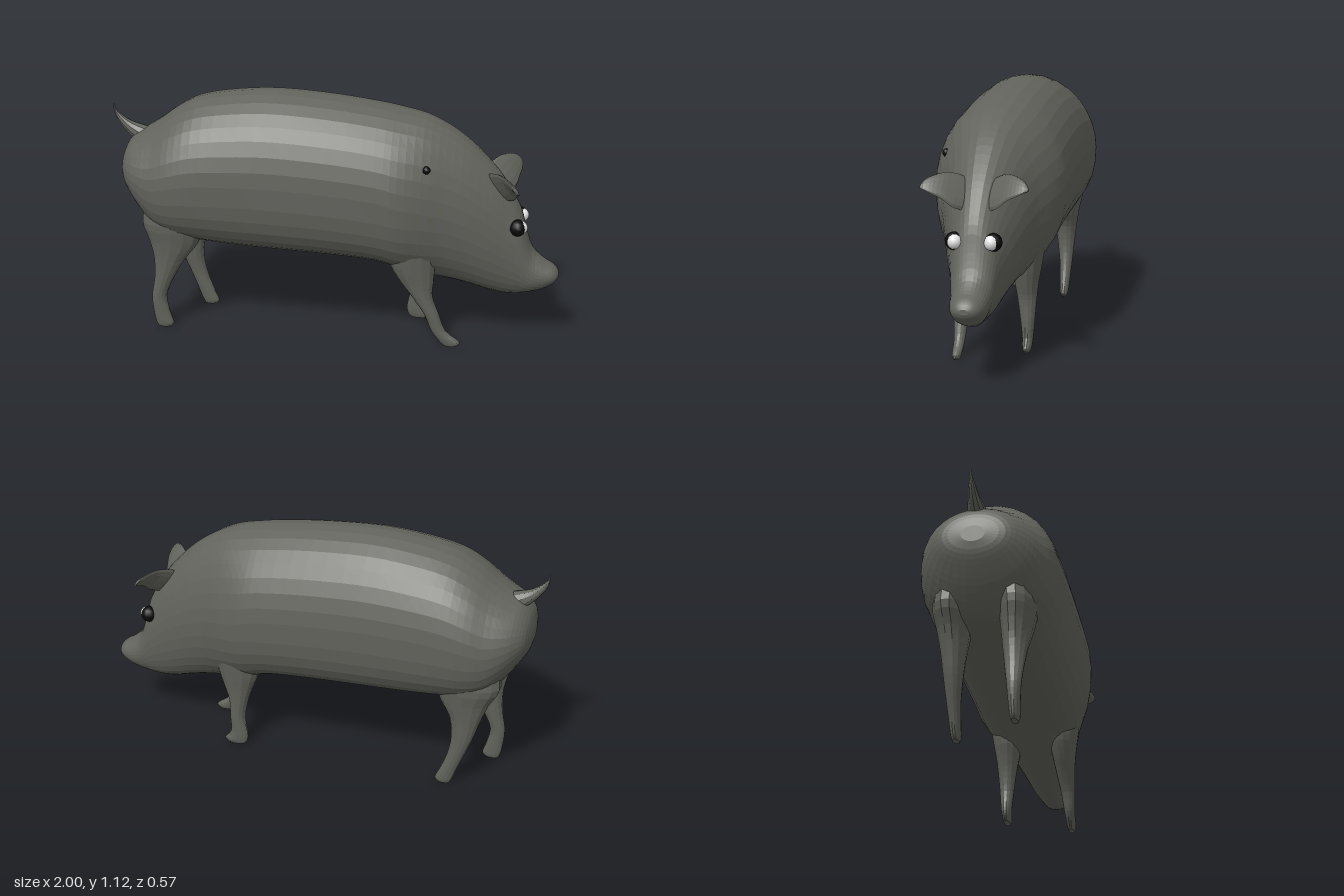
import * as THREE from 'three';

const V = (x, y, z) => new THREE.Vector3(x, y, z);

const skin = new THREE.MeshStandardMaterial({ color: 0x64645e });
skin.name = 'dark grey skin';
const black = new THREE.MeshStandardMaterial({ color: 0x0a0a0a });
black.name = 'black';
const white = new THREE.MeshStandardMaterial({ color: 0xe8e8e8 });
white.name = 'eye white';

// Superellipse ring around c; u x v points along the loft. p shapes the half facing -u.
function ring(c, u, v, ru, rv, n, p = 2) {
  return Array.from({ length: n }, (_, j) => {
    const a = (j / n) * Math.PI * 2;
    const e = Math.cos(a) < 0 ? 2 / p : 1;
    const cu = Math.sign(Math.cos(a)) * Math.abs(Math.cos(a)) ** e;
    const sv = Math.sign(Math.sin(a)) * Math.abs(Math.sin(a)) ** e;
    return c.clone().addScaledVector(u, cu * ru).addScaledVector(v, sv * rv);
  });
}

// Faceted closed skin over a list of rings
function loft(rings) {
  const pos = [];
  const tri = (...pts) => pts.forEach((p) => pos.push(p.x, p.y, p.z));
  const n = rings[0].length;
  const mid = (r) => r.reduce((s, p) => s.add(p), V(0, 0, 0)).divideScalar(n);
  const first = rings[0], last = rings[rings.length - 1];
  const m0 = mid(first), m1 = mid(last);
  for (let j = 0; j < n; j++) {
    const k = (j + 1) % n;
    tri(m0, first[k], first[j]);
    tri(m1, last[j], last[k]);
    for (let i = 0; i < rings.length - 1; i++) {
      const a = rings[i], b = rings[i + 1];
      tri(a[j], a[k], b[k]);
      tri(a[j], b[k], b[j]);
    }
  }
  const g = new THREE.BufferGeometry();
  g.setAttribute('position', new THREE.Float32BufferAttribute(pos, 3));
  g.computeVertexNormals();
  return g;
}

// Smoothly resample rows of five numbers
function smooth(rows, steps) {
  const a = new THREE.CatmullRomCurve3(rows.map((r) => V(r[0], r[1], r[2])), false, 'catmullrom');
  const b = new THREE.CatmullRomCurve3(rows.map((r) => V(r[3], r[4], 0)), false, 'catmullrom');
  return Array.from({ length: steps + 1 }, (_, i) => {
    const p = a.getPoint(i / steps), q = b.getPoint(i / steps);
    return [p.x, p.y, p.z, q.x, q.y];
  });
}

// Body and head: x, top, bottom, half width, lower roundness
const BODY = [
  [-0.95, 0.78, 0.71, 0.05, 2], [-0.935, 0.84, 0.66, 0.13, 2], [-0.9, 0.885, 0.6, 0.185, 2],
  [-0.85, 0.915, 0.53, 0.225, 2.1], [-0.78, 0.96, 0.455, 0.255, 2.2], [-0.7, 1.02, 0.43, 0.275, 2.4],
  [-0.6, 1.07, 0.42, 0.282, 2.5], [-0.45, 1.1, 0.405, 0.282, 2.5], [-0.25, 1.115, 0.395, 0.282, 2.5],
  [0, 1.1, 0.385, 0.282, 2.5], [0.2, 1.075, 0.37, 0.282, 2.5], [0.3, 1.057, 0.335, 0.278, 2.3],
  [0.4, 1.035, 0.305, 0.25, 2.1], [0.5, 0.99, 0.285, 0.208, 2], [0.6, 0.92, 0.262, 0.173, 2],
  [0.7, 0.82, 0.233, 0.138, 2], [0.76, 0.74, 0.222, 0.115, 2], [0.82, 0.635, 0.222, 0.095, 2],
  [0.85, 0.53, 0.228, 0.086, 2], [0.88, 0.445, 0.236, 0.08, 2], [0.93, 0.395, 0.253, 0.073, 2],
  [0.97, 0.37, 0.277, 0.06, 2], [0.99, 0.352, 0.295, 0.042, 2], [1, 0.335, 0.312, 0.02, 2],
];

// Legs: y, centre x, centre z, half depth in x, half thickness in z
const LEGS = {
  leftRearLeg: { side: 1, rows: [
    [0, -0.77, 0.135, 0.03, 0.014], [0.02, -0.768, 0.135, 0.042, 0.02], [0.07, -0.78, 0.135, 0.039, 0.024],
    [0.15, -0.79, 0.135, 0.034, 0.03], [0.24, -0.765, 0.132, 0.044, 0.04], [0.34, -0.735, 0.13, 0.072, 0.052],
    [0.43, -0.71, 0.132, 0.115, 0.065], [0.52, -0.71, 0.135, 0.14, 0.078], [0.64, -0.7, 0.12, 0.13, 0.08]] },
  rightRearLeg: { side: -1, rows: [
    [0, -0.615, 0.135, 0.028, 0.014], [0.02, -0.615, 0.135, 0.039, 0.02], [0.07, -0.635, 0.135, 0.037, 0.024],
    [0.15, -0.665, 0.135, 0.038, 0.03], [0.24, -0.69, 0.132, 0.048, 0.04], [0.34, -0.7, 0.13, 0.07, 0.052],
    [0.43, -0.695, 0.132, 0.11, 0.065], [0.52, -0.71, 0.135, 0.14, 0.078], [0.64, -0.7, 0.12, 0.13, 0.08]] },
  leftFrontLeg: { side: 1, rows: [
    [0, 0.54, 0.135, 0.03, 0.014], [0.02, 0.535, 0.135, 0.046, 0.02], [0.07, 0.485, 0.135, 0.032, 0.024],
    [0.15, 0.452, 0.135, 0.033, 0.032], [0.23, 0.41, 0.132, 0.046, 0.042], [0.3, 0.385, 0.13, 0.074, 0.052],
    [0.38, 0.365, 0.13, 0.1, 0.066], [0.48, 0.36, 0.13, 0.11, 0.08], [0.6, 0.36, 0.12, 0.1, 0.085]] },
  rightFrontLeg: { side: -1, rows: [
    [0, 0.375, 0.135, 0.04, 0.014], [0.02, 0.374, 0.135, 0.055, 0.02], [0.06, 0.357, 0.135, 0.042, 0.024],
    [0.14, 0.364, 0.135, 0.036, 0.032], [0.23, 0.358, 0.132, 0.045, 0.042], [0.3, 0.357, 0.13, 0.068, 0.052],
    [0.38, 0.355, 0.13, 0.095, 0.066], [0.48, 0.36, 0.13, 0.11, 0.08], [0.6, 0.36, 0.12, 0.1, 0.085]] },
};

// Right or left ear: a flat leaf swept outward
function earGeometry(side) {
  const u = V(0.65, -0.76, 0);
  const rows = [ // centre x, y, z, half width, half thickness
    [0.715, 0.735, 0.05, 0.075, 0.025], [0.742, 0.755, 0.09, 0.078, 0.02], [0.765, 0.777, 0.13, 0.062, 0.014],
    [0.785, 0.784, 0.17, 0.045, 0.011], [0.797, 0.784, 0.2, 0.027, 0.008], [0.803, 0.777, 0.218, 0.008, 0.004]];
  const rings = smooth(rows, 12).map(([x, y, z, w, t]) =>
    ring(V(x, y, z * side), u, V(0.76, 0.65, 0), w, t, 12));
  return loft(side > 0 ? rings : rings.reverse());
}

// Curled, tapering tail
function tailGeometry() {
  const path = new THREE.CatmullRomCurve3([
    V(-0.83, 0.86, 0), V(-0.89, 0.89, 0), V(-0.935, 0.918, 0), V(-0.973, 0.955, 0), V(-0.992, 0.985, 0), V(-0.997, 1.015, 0)]);
  const z = V(0, 0, 1), rings = [];
  for (let i = 0; i <= 14; i++) {
    const t = i / 14;
    const u = z.clone().cross(path.getTangent(t));
    const r = 0.003 + 0.05 * (1 - t) ** 1.6;
    rings.push(ring(path.getPoint(t), u, z, r, r, 10));
  }
  return loft(rings);
}

export function createModel() {
  const pig = new THREE.Group();
  pig.name = 'pig';
  const add = (name, geometry, material, x = 0, y = 0, z = 0) => {
    const m = new THREE.Mesh(geometry, material);
    m.name = name;
    m.position.set(x, y, z);
    pig.add(m);
  };

  add('body', loft(smooth(BODY, 69).map(([x, top, bottom, w, p]) =>
    ring(V(x, (top + bottom) / 2, 0), V(0, 1, 0), V(0, 0, 1), (top - bottom) / 2, w, 32, p))), skin);

  for (const [name, { side, rows }] of Object.entries(LEGS)) {
    add(name, loft(smooth(rows, 24).map(([y, x, z, hx, hz]) =>
      ring(V(x, y, z * side), V(0, 0, 1), V(1, 0, 0), hz, hx, 14))), skin);
  }

  add('tail', tailGeometry(), skin);

  for (const [label, side] of [['left', 1], ['right', -1]]) {
    add(label + 'Ear', earGeometry(side), skin);
    // Dark eyeball with a white front turned slightly inward
    add(label + 'Eye', new THREE.SphereGeometry(0.037, 12, 8), black, 0.812, 0.565, 0.08 * side);
    add(label + 'EyeWhite', new THREE.SphereGeometry(0.031, 12, 8), white, 0.825, 0.565, 0.075 * side);
  }

  // Small dark spot on the shoulder
  add('shoulderSpot', new THREE.SphereGeometry(0.018, 8, 6), black, 0.42, 0.855, 0.202);
  return pig;
}
